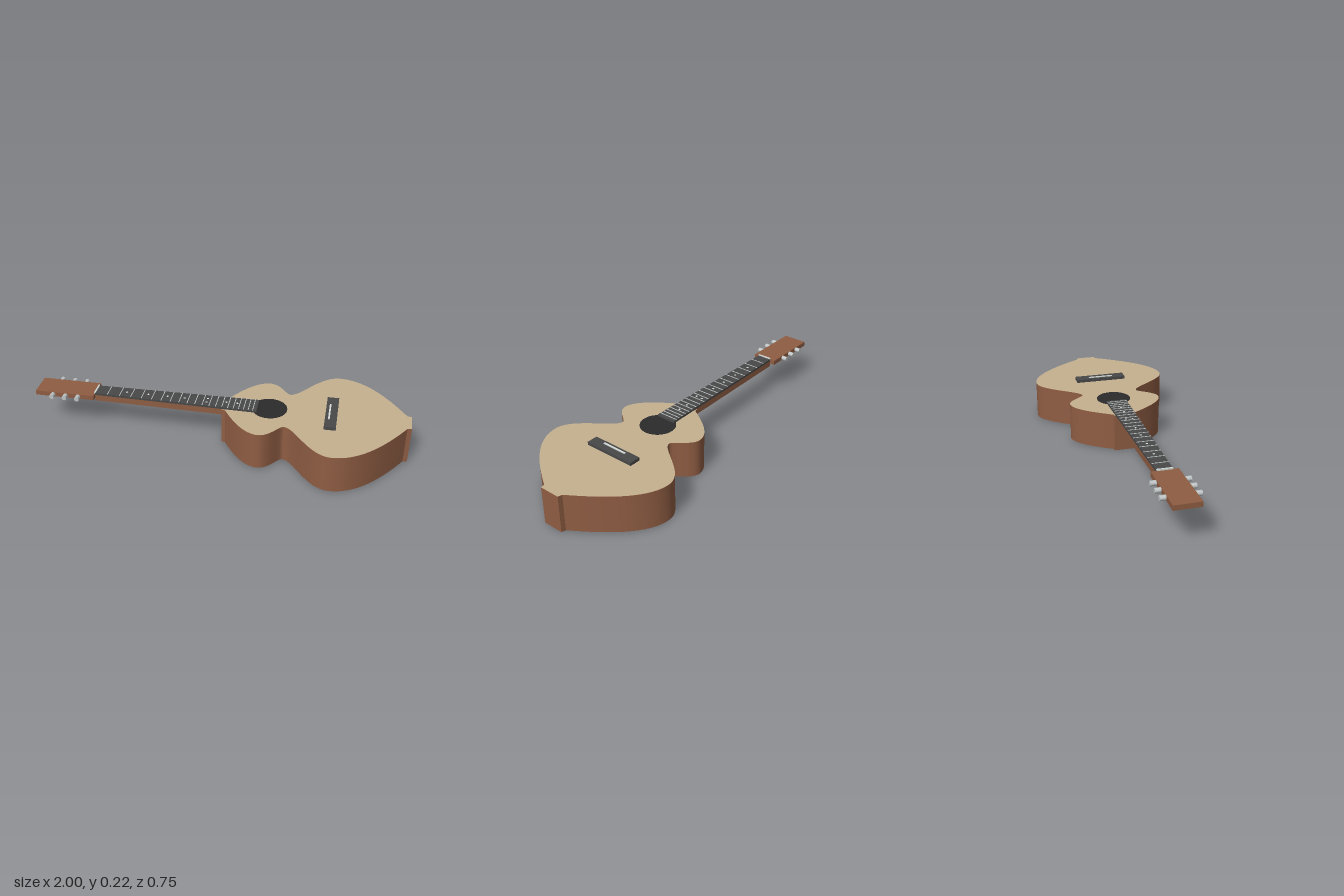
import * as THREE from 'three';
import { toCreasedNormals } from 'three/addons/utils/BufferGeometryUtils.js';

const mat = (name, color) => {
  const m = new THREE.MeshStandardMaterial({ color });
  m.name = name;
  return m;
};

export function createModel() {
  const wood = mat('brown wood', 0x8f5d43);
  const spruce = mat('pale top wood', 0xc6b190);
  const ebony = mat('dark wood', 0x484848);
  const black = mat('sound hole black', 0x2b2b2b);
  const metal = mat('metal', 0xbfc4c4);
  const ivory = mat('ivory', 0xd5dbd6);

  const guitar = new THREE.Group();
  guitar.name = 'guitar';

  const add = (name, geometry, material, x = 0, y = 0, z = 0) => {
    const mesh = new THREE.Mesh(geometry, material);
    mesh.name = name;
    mesh.position.set(x, y, z);
    guitar.add(mesh);
    return mesh;
  };
  const box = (name, material, x0, x1, y0, y1, halfZ) =>
    add(name, new THREE.BoxGeometry(x1 - x0, y1 - y0, halfZ * 2), material, (x0 + x1) / 2, (y0 + y1) / 2, 0);
  // Stands a flat outline up into a slab whose thickness runs along y
  const slab = (shape, height) =>
    new THREE.ExtrudeGeometry(shape, { depth: height, bevelEnabled: false }).rotateX(-Math.PI / 2);

  // Body: one half of the outline, mirrored across the centre line
  const half = new THREE.Path();
  half.moveTo(0.02, 0.055);
  half.lineTo(0.04, 0.06);
  half.bezierCurveTo(0.1, 0.16, 0.17, 0.253, 0.24, 0.253);
  half.bezierCurveTo(0.3, 0.253, 0.335, 0.158, 0.36, 0.157);
  half.bezierCurveTo(0.42, 0.158, 0.5, 0.377, 0.615, 0.377);
  half.bezierCurveTo(0.77, 0.377, 0.9, 0.18, 0.977, 0.06);
  half.lineTo(1, 0.055);
  const upper = half.getPoints(20);
  const lower = upper.map((p) => new THREE.Vector2(p.x, -p.y)).reverse();
  const outline = new THREE.Shape([...upper, ...lower]);
  add('body', toCreasedNormals(slab(outline, 0.202), 0.5), wood);
  add('soundboard', new THREE.ShapeGeometry(outline).rotateX(-Math.PI / 2), spruce, 0, 0.203, 0);
  add('soundHole', new THREE.CylinderGeometry(0.093, 0.093, 0.003, 40), black, 0.267, 0.2035, 0);

  // Neck and fingerboard widen towards the body
  const nutX = -0.675;
  const halfWidth = (x) => 0.04 + (0.015 * (x - nutX)) / 0.88;
  const taper = (x0, x1) => new THREE.Shape([
    new THREE.Vector2(x0, -halfWidth(x0)), new THREE.Vector2(x1, -halfWidth(x1)),
    new THREE.Vector2(x1, halfWidth(x1)), new THREE.Vector2(x0, halfWidth(x0)),
  ]);
  add('neck', slab(taper(nutX, 0.04), 0.034), wood, 0, 0.17, 0);
  add('fingerboard', slab(taper(nutX, 0.205), 0.0115), ebony, 0, 0.204, 0);
  box('nut', ivory, nutX - 0.004, nutX + 0.004, 0.2, 0.221, 0.04);

  // Frets follow the equal-tempered spacing
  const scale = 1.255;
  const fretX = (n) => nutX + scale * (1 - 2 ** (-n / 12));
  for (let n = 1; n <= 20; n++) {
    const x = fretX(n);
    box('fret', metal, x - 0.002, x + 0.002, 0.215, 0.2175, halfWidth(x));
  }

  // Position dots, doubled at the octave
  for (const n of [3, 5, 7, 9, 12, 15, 17]) {
    const x = (fretX(n - 1) + fretX(n)) / 2;
    for (const z of n === 12 ? [-0.018, 0.018] : [0]) {
      add('positionDot', new THREE.CylinderGeometry(0.006, 0.006, 0.002, 12), ivory, x, 0.2155, z);
    }
  }

  // Headstock with three tuners on each side
  box('headstock', wood, -1, nutX, 0.187, 0.213, 0.068);
  for (const x of [-0.902, -0.832, -0.762]) {
    for (const side of [-1, 1]) {
      const knob = new THREE.CylinderGeometry(0.013, 0.013, 0.036, 12).rotateX(Math.PI / 2);
      add('tuner', knob, metal, x, 0.2, side * 0.08);
    }
  }

  // Bridge and saddle
  box('bridge', ebony, 0.56, 0.621, 0.202, 0.22, 0.143);
  box('saddle', ivory, 0.576, 0.585, 0.215, 0.225, 0.07);

  return guitar;
}
